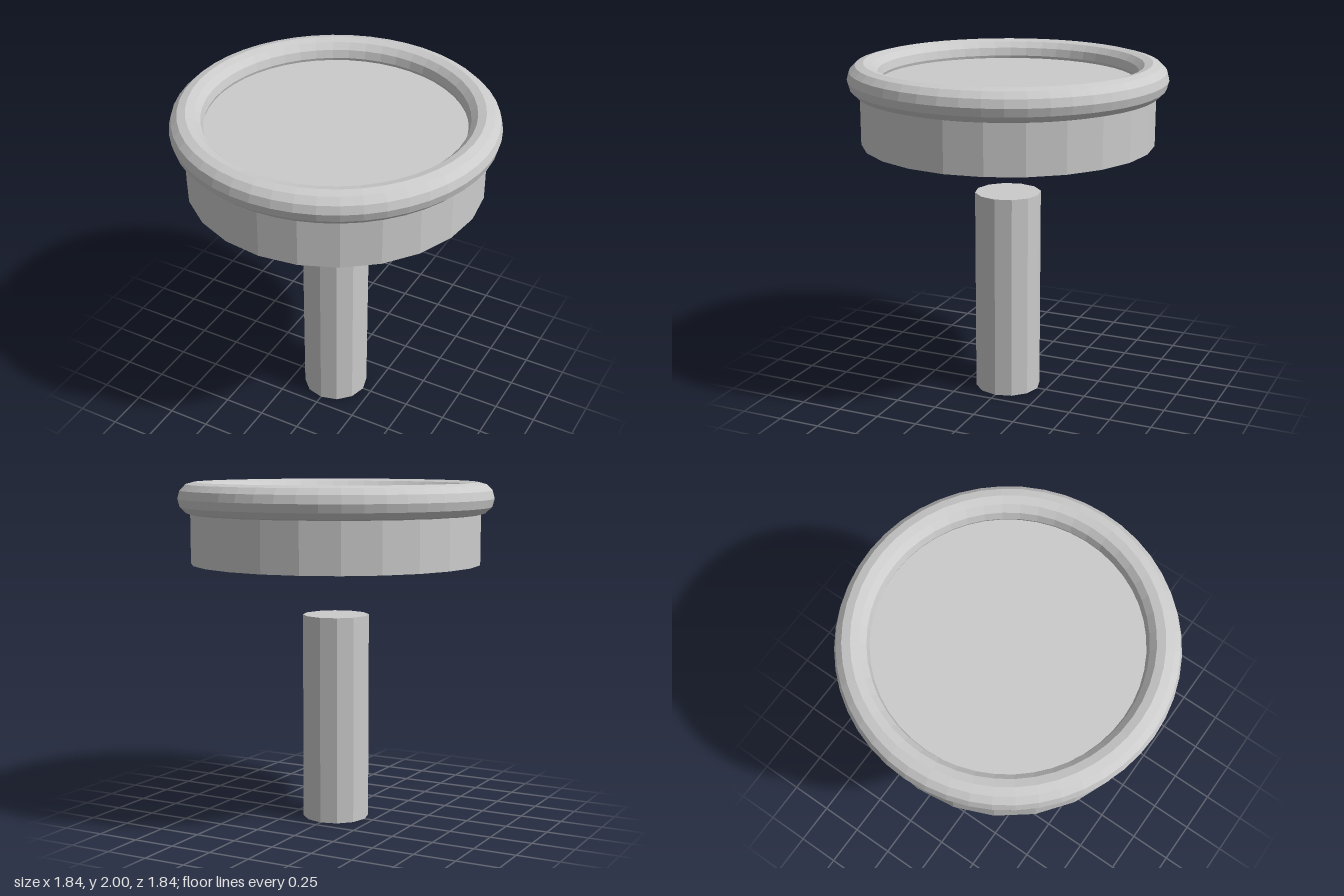
import * as THREE from 'three';

const material = new THREE.MeshStandardMaterial({ color: 0xcccccc, flatShading: true });

function addPart(group, name, geometry, y) {
  const mesh = new THREE.Mesh(geometry, material);
  mesh.name = name;
  mesh.position.y = y;
  group.add(mesh);
}

// Upright cylinder running from bottom to top
function addCylinder(group, name, radius, bottom, top, sides) {
  addPart(group, name, new THREE.CylinderGeometry(radius, radius, top - bottom, sides), (bottom + top) / 2);
}

export function createModel() {
  const model = new THREE.Group();
  model.name = 'knob';

  // Stem, floating free below the head
  addCylinder(model, 'stem', 0.195, 0, 1.222, 12);

  // Head, whose top face lies inside the rim
  addCylinder(model, 'head', 0.85, 1.528, 1.89, 24);

  // Rounded rim around the top of the head
  const rim = new THREE.TorusGeometry(0.827, 0.094, 12, 48).rotateX(Math.PI / 2);
  addPart(model, 'rim', rim, 1.906);

  return model;
}
